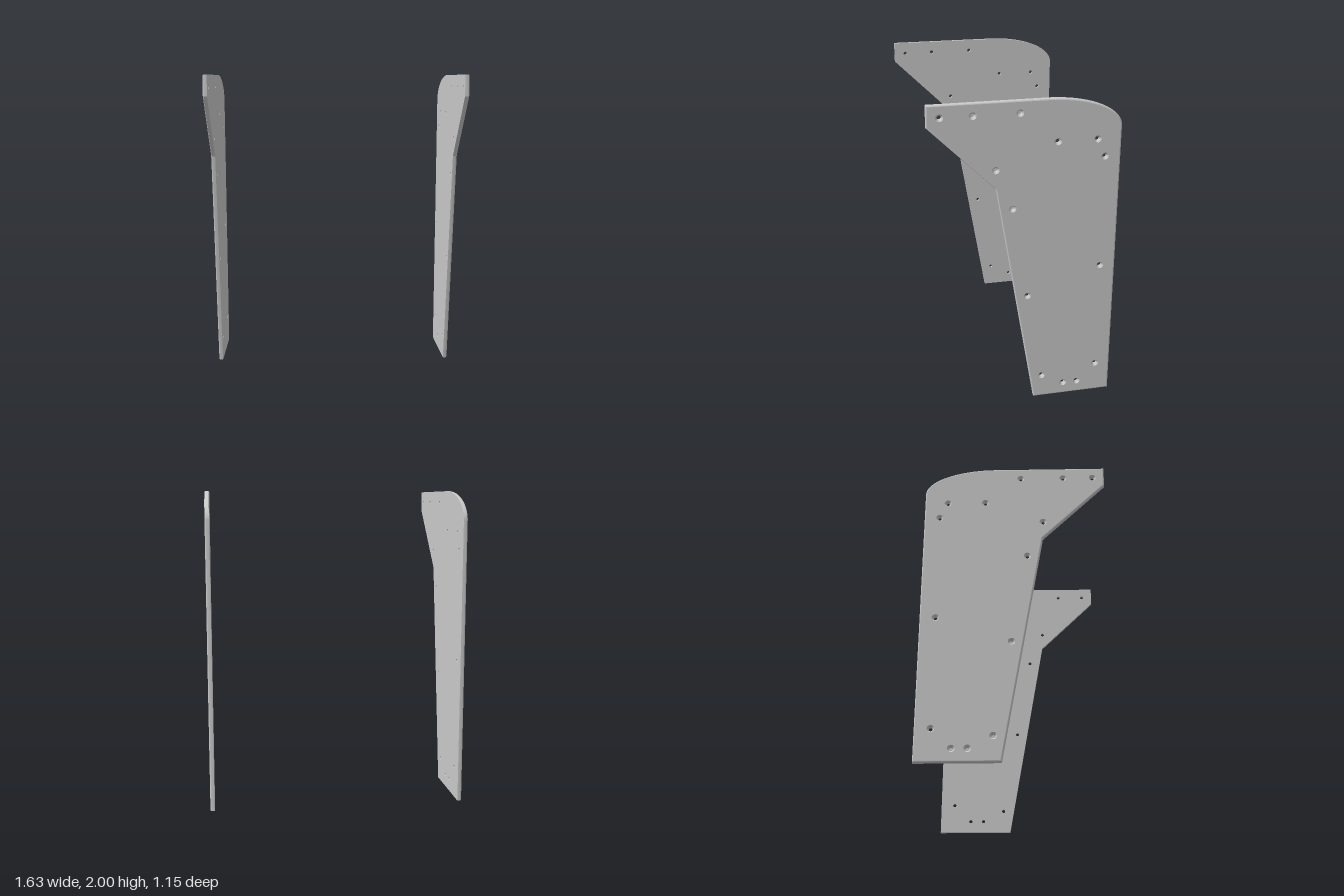
import * as THREE from 'three';
import { mergeGeometries, toCreasedNormals } from 'three/addons/utils/BufferGeometryUtils.js';

const INNER = 0.786, OUTER = 0.813; // distances of the panel faces from the centre plane
const ROUND = 0.009; // rounding along the outer edge
const BORE = 0.012, SINK = 0.022; // screw hole radii, inside and outside

// Screw holes as [z, y]
const HOLES = [
  [0.5, 1.925], [0.31, 1.925], [0.037, 1.925], [-0.19, 1.74], [-0.43, 1.74],
  [-0.48, 1.63], [0.178, 1.59], [0.077, 1.34], [-0.48, 0.913], [-0.02, 0.748],
  [-0.48, 0.2], [-0.122, 0.155], [-0.267, 0.08], [-0.36, 0.08],
];

// Panel outline, counter-clockwise, drawn as (-z, y)
function outline() {
  const p = [new THREE.Vector2(0.072, 0), new THREE.Vector2(0.576, 0)];
  for (let i = 0; i <= 24; i++) {
    const a = (i / 24) * Math.PI / 2;
    p.push(new THREE.Vector2(0.126 + 0.45 * Math.cos(a), 1.815 + 0.185 * Math.sin(a)));
  }
  for (const [u, v] of [[-0.576, 2], [-0.576, 1.868], [-0.175, 1.47]]) p.push(new THREE.Vector2(u, v));
  return p;
}

// Moves every corner inwards by d with mitred joints
function inset(points, d) {
  const n = points.length;
  const normal = (a, b) => new THREE.Vector2(a.y - b.y, b.x - a.x).normalize();
  return points.map((p, i) => {
    const n1 = normal(points[(i + n - 1) % n], p), n2 = normal(p, points[(i + 1) % n]);
    return p.clone().addScaledVector(n1.clone().add(n2), d / (1 + n1.dot(n2)));
  });
}

function flip(geometry) {
  const index = geometry.index.array;
  for (let i = 0; i < index.length; i += 3) [index[i], index[i + 1]] = [index[i + 1], index[i]];
  return geometry;
}

// Flat face with round holes
function face(points, radius, depth) {
  const shape = new THREE.Shape(points);
  for (const [z, y] of HOLES) shape.holes.push(new THREE.Path().absarc(-z, y, radius, 0, Math.PI * 2, true));
  return new THREE.ShapeGeometry(shape, 12).translate(0, 0, depth);
}

// Rim: straight edge that rounds over to the outer face
function rim(points) {
  const rings = [[points, INNER]];
  for (let i = 0; i <= 4; i++) {
    const a = (i / 4) * Math.PI / 2;
    rings.push([inset(points, ROUND * (1 - Math.cos(a))), OUTER - ROUND + ROUND * Math.sin(a)]);
  }
  const pos = [], n = points.length;
  for (let k = 0; k + 1 < rings.length; k++) {
    const [low, w0] = rings[k], [high, w1] = rings[k + 1];
    for (let i = 0; i < n; i++) {
      const j = (i + 1) % n;
      const a = [low[i].x, low[i].y, w0], b = [low[j].x, low[j].y, w0];
      const c = [high[j].x, high[j].y, w1], d = [high[i].x, high[i].y, w1];
      pos.push(...a, ...b, ...c, ...a, ...c, ...d);
    }
  }
  const g = new THREE.BufferGeometry();
  g.setAttribute('position', new THREE.Float32BufferAttribute(pos, 3));
  return toCreasedNormals(g, 0.5);
}

// Countersunk bore, wide on the outer face
function bore([z, y]) {
  const profile = [[SINK, OUTER], [BORE, OUTER - 0.012], [BORE, INNER]].map(([r, h]) => new THREE.Vector2(r, h));
  const g = new THREE.LatheGeometry(profile, 24).rotateX(Math.PI / 2).translate(-z, y, 0);
  return toCreasedNormals(g, 0.5);
}

function panelGeometry(side) {
  const points = outline();
  const inner = flip(face(points, BORE, INNER));
  inner.computeVertexNormals();
  const parts = [
    inner.toNonIndexed(),
    face(inset(points, ROUND), SINK, OUTER).toNonIndexed(),
    rim(points),
    ...HOLES.map(bore),
  ];
  parts.forEach((g) => g.deleteAttribute('uv'));
  const g = mergeGeometries(parts);
  g.setIndex([...Array(g.attributes.position.count).keys()]);
  // Mirror for the other side, keeping the faces outwards
  if (side < 0) flip(g.scale(1, 1, -1));
  return g.rotateY(Math.PI / 2);
}

export function createModel() {
  const group = new THREE.Group();
  group.name = 'sidePanels';
  const material = new THREE.MeshStandardMaterial({ color: 0xcccccc });
  for (const [name, side] of [['leftPanel', 1], ['rightPanel', -1]]) {
    const panel = new THREE.Mesh(panelGeometry(side), material);
    panel.name = name;
    group.add(panel);
  }
  return group;
}
